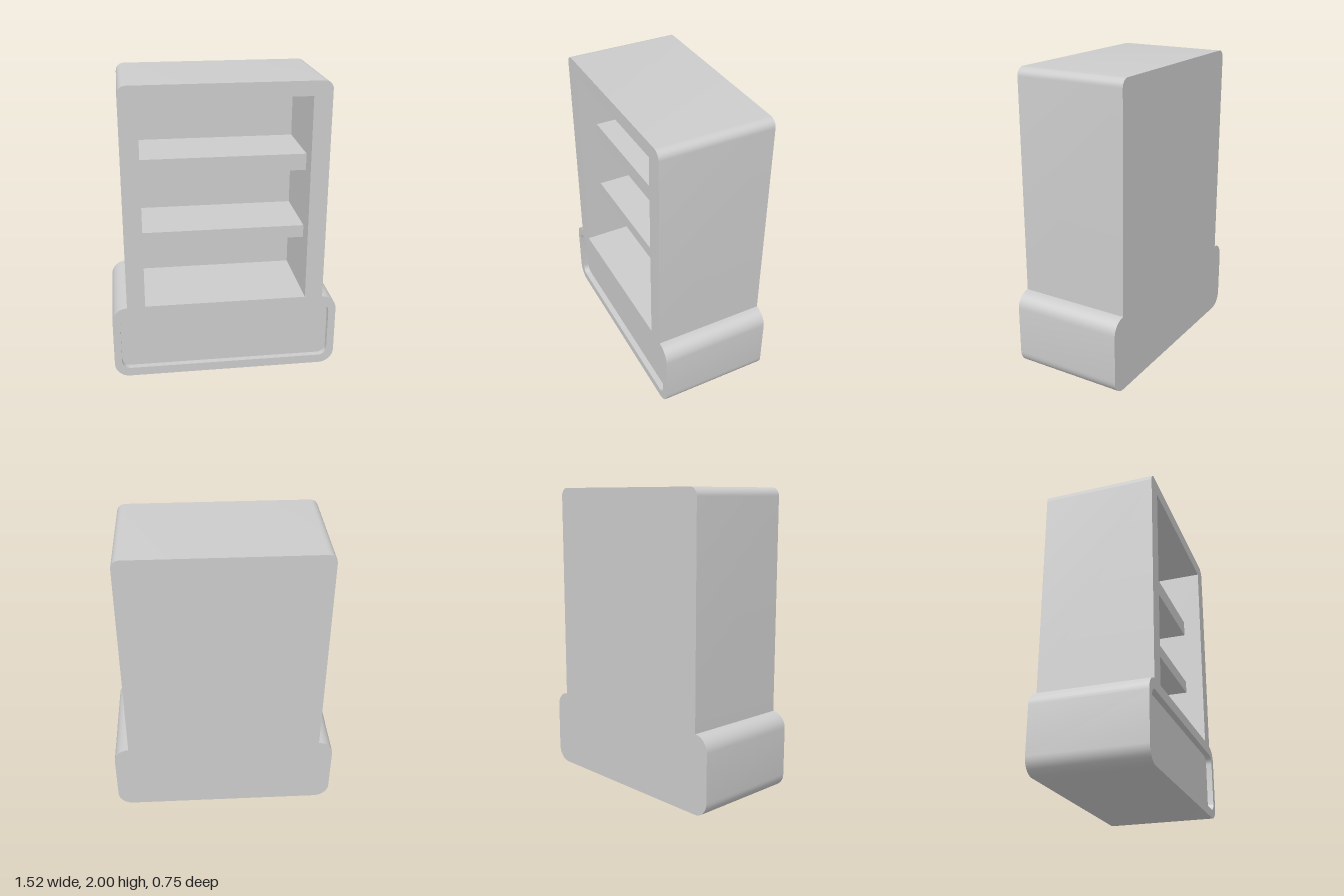
import * as THREE from 'three';
import { toCreasedNormals } from 'three/addons/utils/BufferGeometryUtils.js';

const material = new THREE.MeshStandardMaterial({ color: 0xcccccc });
const BACK = -0.375, FRONT = 0.375;
const OPENING = { x: 0.54, y0: 0.525, y1: 1.905 };
const CAVITY_BACK = -0.21;

function add(group, name, geometry) {
  const mesh = new THREE.Mesh(geometry, material);
  mesh.name = name;
  group.add(mesh);
}

// Extrude an outline between two z positions, smoothing only the rounded corners
function slab(shape, z0, z1) {
  const geometry = new THREE.ExtrudeGeometry(shape, {
    depth: z1 - z0, bevelEnabled: false, curveSegments: 4,
  });
  geometry.translate(0, 0, z0);
  return toCreasedNormals(geometry, 0.65);
}

// Symmetric rectangle with rounded corners
function roundedRect(path, x, y0, y1, r) {
  path.moveTo(-x + r, y0);
  path.lineTo(x - r, y0);
  path.absarc(x - r, y0 + r, r, -Math.PI / 2, 0);
  path.absarc(x - r, y1 - r, r, 0, Math.PI / 2);
  path.absarc(-x + r, y1 - r, r, Math.PI / 2, Math.PI);
  path.absarc(-x + r, y0 + r, r, Math.PI, Math.PI * 1.5);
  return path;
}

// Box filling the opening's width between given heights and depths
function fill(y0, y1, z0, z1) {
  return new THREE.BoxGeometry(OPENING.x * 2, y1 - y0, z1 - z0)
    .translate(0, (y0 + y1) / 2, (z0 + z1) / 2);
}

// Cabinet profile: wide rounded base with a narrower rounded upper body
function cabinetOutline() {
  const baseX = 0.76, bodyX = 0.66, baseTop = 0.52, r = 0.1, top = 0.055;
  const s = new THREE.Shape();
  s.moveTo(-baseX + r, 0);
  s.lineTo(baseX - r, 0);
  s.absarc(baseX - r, r, r, -Math.PI / 2, 0);
  s.absarc(baseX - r, baseTop - r, r, 0, Math.PI / 2);
  s.lineTo(bodyX, baseTop);
  s.absarc(bodyX - top, 2 - top, top, 0, Math.PI / 2);
  s.absarc(-bodyX + top, 2 - top, top, Math.PI / 2, Math.PI);
  s.lineTo(-bodyX, baseTop);
  s.absarc(-baseX + r, baseTop - r, r, Math.PI / 2, Math.PI);
  s.absarc(-baseX + r, r, r, Math.PI, Math.PI * 1.5);
  return s;
}

export function createModel() {
  const cabinet = new THREE.Group();
  cabinet.name = 'cabinet';

  // Shell with the shelf opening and the base panel cut out
  const outline = cabinetOutline();
  const { x, y0, y1 } = OPENING;
  outline.holes.push(new THREE.Path([
    new THREE.Vector2(-x, y0), new THREE.Vector2(-x, y1),
    new THREE.Vector2(x, y1), new THREE.Vector2(x, y0),
  ]));
  outline.holes.push(roundedRect(new THREE.Path(), 0.71, 0.06, 0.455, 0.055));
  add(cabinet, 'shell', slab(outline, BACK, FRONT));

  // Back wall of the shelf compartment
  add(cabinet, 'backPanel', fill(y0, y1, BACK, CAVITY_BACK));

  // Recessed panel in the base
  const panel = roundedRect(new THREE.Shape(), 0.71, 0.06, 0.455, 0.055);
  add(cabinet, 'basePanel', slab(panel, BACK, FRONT - 0.04));

  // Shelves set back from the front edge
  add(cabinet, 'upperShelf', fill(1.39, 1.5, CAVITY_BACK, FRONT - 0.125));
  add(cabinet, 'lowerShelf', fill(0.915, 1.0, CAVITY_BACK, FRONT - 0.125));

  return cabinet;
}
